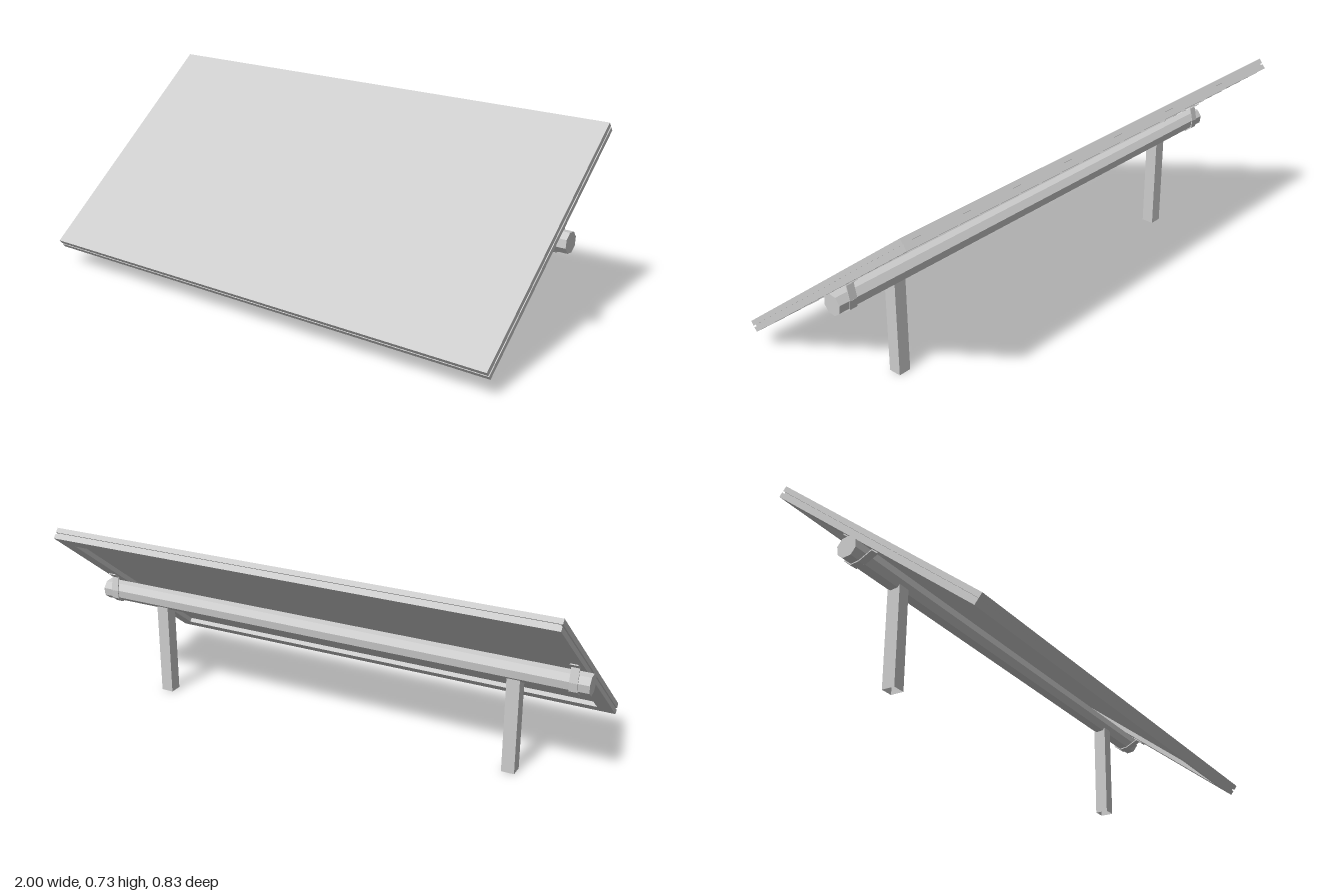
import * as THREE from 'three';

const grey = new THREE.MeshStandardMaterial({ color: 0xcccccc, flatShading: true });
const greyDouble = new THREE.MeshStandardMaterial({ color: 0xcccccc, flatShading: true, side: THREE.DoubleSide });

function add(parent, name, geometry, x = 0, y = 0, z = 0, material = grey) {
  const mesh = new THREE.Mesh(geometry, material);
  mesh.name = name;
  mesh.position.set(x, y, z);
  parent.add(mesh);
  return mesh;
}

function rectangle(PathType, w, h) {
  return new PathType([[-1, -1], [1, -1], [1, 1], [-1, 1]]
    .map(([sx, sy]) => new THREE.Vector2(sx * w / 2, sy * h / 2)));
}

// Bent flat strap running under the tube, with a flange on each side
function createClamp() {
  const clamp = new THREE.Group();
  const half = [[0.016, -0.039], [0.038, -0.016], [0.061, 0.034], [0.09, 0.034]];
  const points = [...half.map(([z, y]) => [-z, y]).reverse(), ...half];
  for (let i = 0; i < points.length - 1; i++) {
    const [z0, y0] = points[i], [z1, y1] = points[i + 1];
    const length = Math.hypot(z1 - z0, y1 - y0);
    const strip = add(clamp, 'clampStrip', new THREE.BoxGeometry(0.03, 0.004, length + 0.002),
      0, (y0 + y1) / 2, (z0 + z1) / 2);
    strip.rotation.x = -Math.atan2(y1 - y0, z1 - z0);
  }
  return clamp;
}

export function createModel() {
  const model = new THREE.Group();
  model.name = 'tiltedPanel';
  const width = 1.95, depth = 1.02;

  // Everything that tilts together
  const tilt = new THREE.Group();
  tilt.name = 'tiltingAssembly';
  tilt.position.y = 0.4025;
  tilt.rotation.x = THREE.MathUtils.degToRad(38.1);
  model.add(tilt);

  // Face slab, with a recessed core forming the edge groove
  add(tilt, 'panelFace', new THREE.BoxGeometry(width, 0.019, depth), 0, 0.012, 0);
  add(tilt, 'panelCore', new THREE.BoxGeometry(width - 0.012, 0.007, depth - 0.012), 0, -0.0005, 0);

  // Rear rim, open in the middle
  const rim = rectangle(THREE.Shape, width, depth);
  rim.holes.push(rectangle(THREE.Path, width - 0.12, depth - 0.12));
  const rimGeometry = new THREE.ExtrudeGeometry(rim, { depth: 0.018, bevelEnabled: false });
  rimGeometry.rotateX(-Math.PI / 2);
  add(tilt, 'rearFrame', rimGeometry, 0, -0.0215, 0);

  // Octagonal torque tube
  const tubeY = -0.0585, tubeZ = -0.057;
  const tubeGeometry = new THREE.CylinderGeometry(0.039, 0.039, 2, 8, 1, false, Math.PI / 8);
  tubeGeometry.rotateZ(Math.PI / 2);
  add(tilt, 'torqueTube', tubeGeometry, 0, tubeY, tubeZ);

  // Clamps and legs, mirrored
  for (const side of [-1, 1]) {
    const clamp = createClamp();
    clamp.name = side > 0 ? 'leftClamp' : 'rightClamp';
    clamp.position.set(side * 0.945, tubeY, tubeZ);
    tilt.add(clamp);

    // Square hollow post, open at the foot
    const post = new THREE.CylinderGeometry(0.0345, 0.0345, 0.37, 4, 1, true, Math.PI / 4);
    add(model, side > 0 ? 'leftLeg' : 'rightLeg', post, side * 0.73, 0.185, -0.078, greyDouble);
  }
  return model;
}
